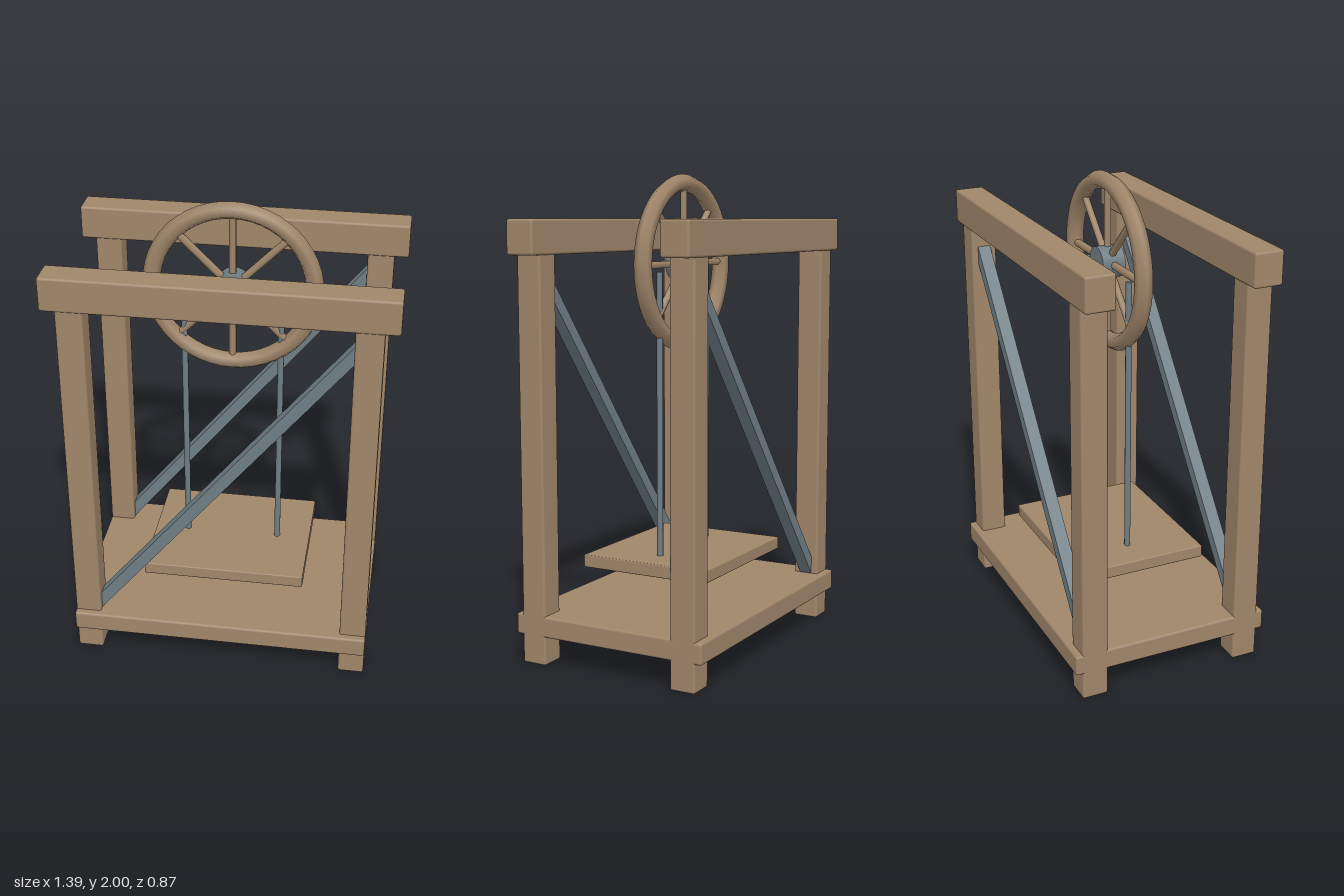
import * as THREE from 'three';
import { RoundedBoxGeometry } from 'three/addons/geometries/RoundedBoxGeometry.js';

export function createModel() {
  const model = new THREE.Group();
  model.name = 'pulleyHoist';
  const wood = new THREE.MeshStandardMaterial({ color: 0xa0866a });
  wood.name = 'wood';
  const steel = new THREE.MeshStandardMaterial({ color: 0x6f7f85 });
  steel.name = 'steel';

  function add(parent, name, geometry, material, x, y, z) {
    const mesh = new THREE.Mesh(geometry, material);
    mesh.name = name;
    mesh.position.set(x, y, z);
    parent.add(mesh);
    return mesh;
  }
  const timber = (w, h, d, r = 0.01) => new RoundedBoxGeometry(w, h, d, 2, r);

  // Two side frames: posts, top beam and diagonal brace
  const braceStart = new THREE.Vector2(-0.55, 0.215);
  const braceEnd = new THREE.Vector2(0.55, 1.588);
  const braceSpan = braceEnd.clone().sub(braceStart);
  for (const side of [1, -1]) {
    const frame = new THREE.Group();
    frame.name = side > 0 ? 'frontFrame' : 'backFrame';
    frame.position.z = side * 0.348;
    model.add(frame);
    for (const x of [-0.58, 0.58]) {
      add(frame, 'post', timber(0.111, 1.7, 0.111), wood, x, 0.85, 0);
    }
    add(frame, 'topBeam', timber(1.39, 0.142, 0.125), wood, 0, 1.744, 0);
    const brace = add(frame, 'brace', new THREE.BoxGeometry(braceSpan.length(), 0.049, 0.055),
      steel, 0, (braceStart.y + braceEnd.y) / 2, 0);
    brace.rotation.z = braceSpan.angle();
  }

  // Base deck and hanging tray
  add(model, 'deck', timber(1.272, 0.088, 0.866), wood, 0, 0.163, 0);
  add(model, 'tray', timber(0.694, 0.054, 0.582, 0.005), wood, 0, 0.379, 0);

  // Hanging rods
  for (const x of [-0.202, 0.202]) {
    add(model, 'rod', new THREE.CylinderGeometry(0.013, 0.013, 1.275, 10), steel, x, 0.961, 0);
  }

  // Wheel: rim, hub and eight spokes
  const wheel = new THREE.Group();
  wheel.name = 'wheel';
  wheel.position.y = 1.628;
  model.add(wheel);
  add(wheel, 'rim', new THREE.TorusGeometry(0.335, 0.037, 6, 48), wood, 0, 0, 0);
  add(wheel, 'hub', new THREE.CylinderGeometry(0.068, 0.068, 0.1, 24), steel, 0, 0, 0)
    .rotation.x = Math.PI / 2;
  const spokeLength = 0.31;
  for (let i = 0; i < 8; i++) {
    const angle = (i * Math.PI) / 4;
    const spoke = add(wheel, 'spoke', new THREE.CylinderGeometry(0.016, 0.016, spokeLength, 6), wood,
      Math.cos(angle) * 0.165, Math.sin(angle) * 0.165, 0);
    spoke.rotation.z = angle - Math.PI / 2;
  }
  return model;
}
